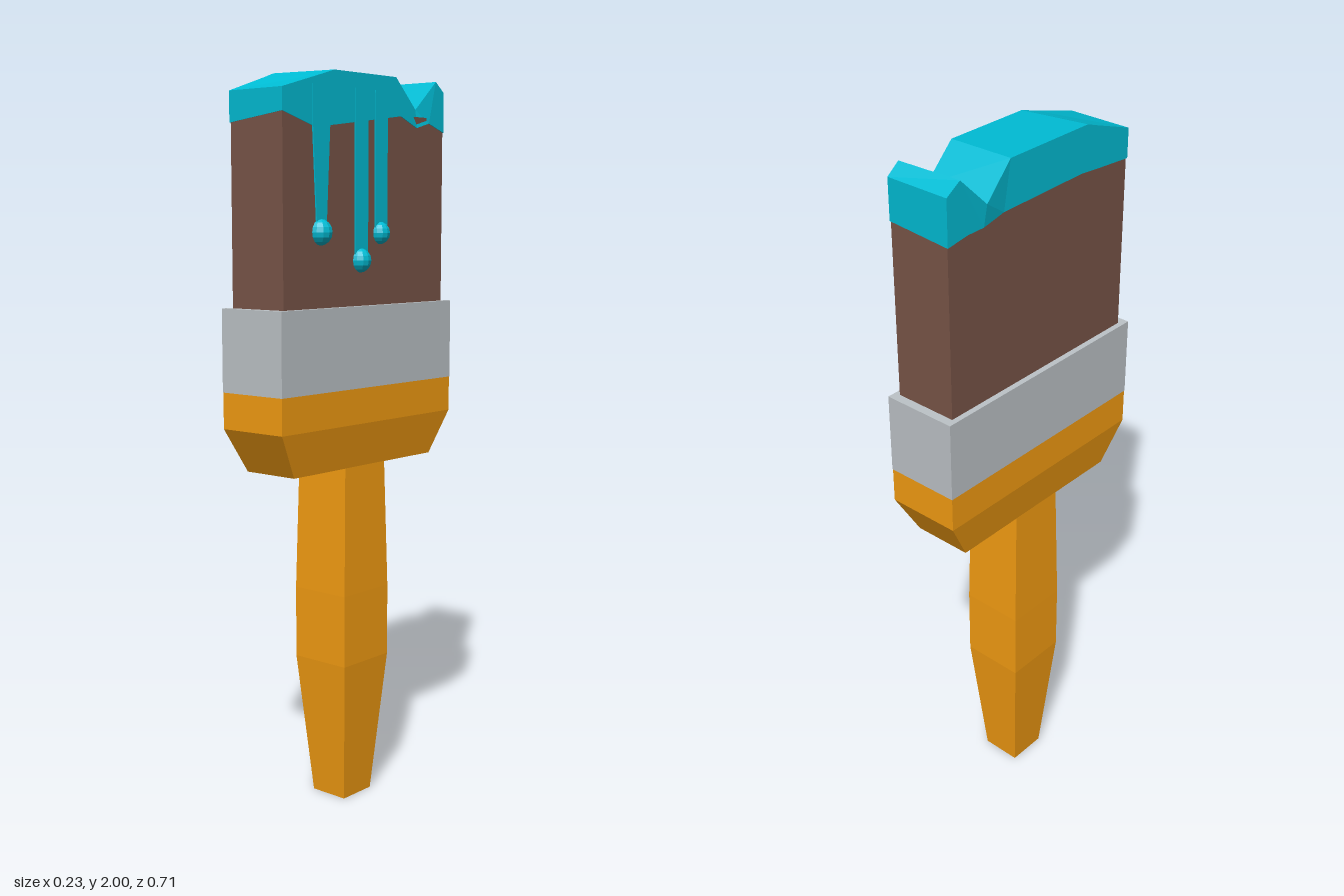
import * as THREE from 'three';

const material = (color) => new THREE.MeshStandardMaterial({ color, flatShading: true, side: THREE.DoubleSide });

// Faceted solid through rings of corners, each counter-clockwise seen from the last ring.
function loft(rings) {
  const pos = [];
  const quad = (a, b, c, d) => pos.push(...a, ...b, ...c, ...a, ...c, ...d);
  for (let r = 0; r < rings.length - 1; r++) {
    const a = rings[r], b = rings[r + 1];
    for (let i = 0; i < 4; i++) {
      const j = (i + 1) % 4;
      quad(a[i], a[j], b[j], b[i]);
    }
  }
  quad(...[...rings[0]].reverse());
  quad(...rings[rings.length - 1]);
  const geo = new THREE.BufferGeometry();
  geo.setAttribute('position', new THREE.Float32BufferAttribute(pos, 3));
  geo.computeVertexNormals();
  return geo;
}

// Horizontal rectangle centred on (cx, cz).
const rect = (y, hx, hz, cx = -0.009, cz = 0) => [
  [cx + hx, y, cz + hz], [cx + hx, y, cz - hz], [cx - hx, y, cz - hz], [cx - hx, y, cz + hz],
];

export function createModel() {
  const group = new THREE.Group();
  const orange = material(0xf39c12), steel = material(0xbdc3c7);
  const brown = material(0x795548), teal = material(0x00bcd4);
  const add = (name, geo, mat) => {
    const mesh = new THREE.Mesh(geo, mat);
    mesh.name = name;
    group.add(mesh);
    return mesh;
  };

  // Wooden handle and its flared head
  add('handle', loft([
    rect(0, 0.057, 0.057), rect(0.4, 0.09, 0.093), rect(0.6, 0.09, 0.093), rect(0.96, 0.084, 0.083),
  ]), orange);
  add('handleHead', loft([
    rect(0.955, 0.084, 0.287), rect(1.075, 0.105, 0.354), rect(1.172, 0.105, 0.354),
  ]), orange);

  // Metal band and bristles
  add('ferrule', loft([rect(1.172, 0.106, 0.355), rect(1.392, 0.106, 0.355)]), steel);
  add('bristles', loft([rect(1.39, 0.09, 0.33), rect(1.9, 0.09, 0.33)]), brown);

  // Paint cap: zBottom, yBottomLeft, yBottomRight, zTopLeft, zTopRight, yTop, xLeft, xRight
  const paint = [
    [-0.332, 1.85, 1.863, -0.332, -0.332, 1.972, -0.102, 0.083],
    [-0.265, 1.86, 1.885, -0.287, -0.295, 2.0, -0.102, 0.083],
    [-0.21, 1.86, 1.87, -0.208, -0.216, 1.92, -0.111, 0.073],
    [-0.14, 1.875, 1.898, -0.115, -0.118, 2.0, -0.101, 0.083],
    [0.15, 1.88, 1.86, 0.168, 0.135, 2.0, -0.101, 0.083],
    [0.2, 1.875, 1.85, 0.205, 0.18, 1.987, -0.101, 0.083],
    [0.332, 1.865, 1.887, 0.332, 0.332, 1.945, -0.102, 0.083],
  ];
  add('paintCap', loft(paint.map(([z, yl, yr, zl, zr, yt, xl, xr]) => [
    [-0.102, yl, z], [0.083, yr, z], [xr, yt, zr], [xl, yt, zl],
  ])), teal);

  // Drips: z, y of the bead, bead radius, half width below and above
  const drips = [
    [0.187, 1.588, 0.035, 0.018, 0.033],
    [0.027, 1.513, 0.033, 0.026, 0.027],
    [-0.055, 1.585, 0.031, 0.025, 0.026],
  ];
  for (const [z, y, r, low, high] of drips) {
    add('drip', loft([
      rect(y, 0.007, low, 0.078, z), rect(1.86, 0.007, high, 0.078, z), rect(1.96, 0.007, high, 0.078, z),
    ]), teal);
    add('dripBead', new THREE.SphereGeometry(r, 12, 8), teal).position.set(0.076, y, z);
  }
  return group;
}
